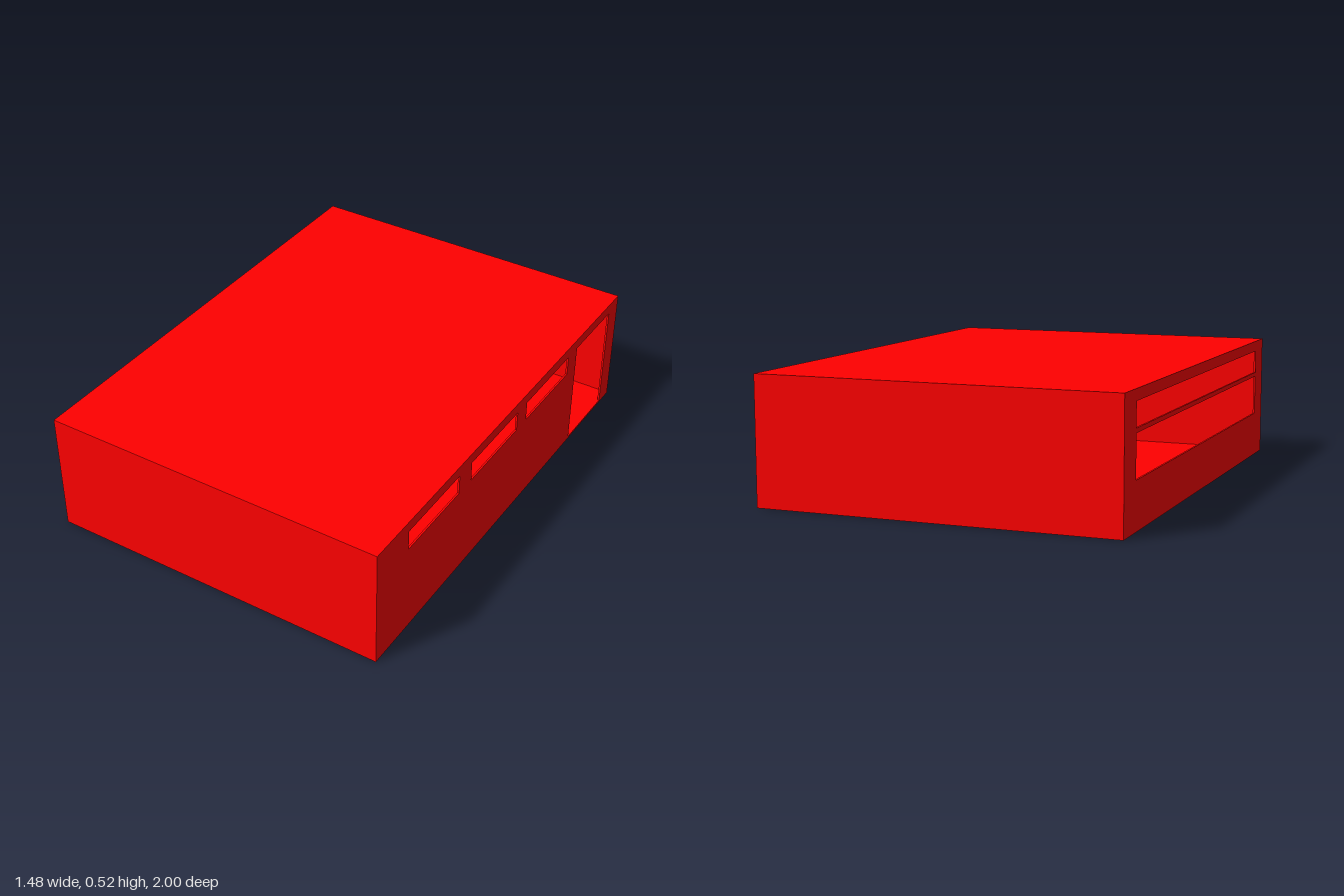
import * as THREE from 'three';

const W = 1.48, H = 0.52, L = 2, T = 0.008; // outer size and panel thickness

export function createModel() {
  const model = new THREE.Group();
  const red = new THREE.MeshStandardMaterial({ color: 0xff0000 });

  const panel = (name, w, h, d, x, y, z) => {
    const mesh = new THREE.Mesh(new THREE.BoxGeometry(w, h, d), red);
    mesh.name = name;
    mesh.position.set(x, y, z);
    model.add(mesh);
  };

  // Side wall drawn in the z-y plane; openings are [z0, z1, y0, y1]
  const sideWall = (name, outerX, openings) => {
    const rect = (target, z0, z1, y0, y1) => {
      target.moveTo(z0, y0);
      target.lineTo(z1, y0);
      target.lineTo(z1, y1);
      target.lineTo(z0, y1);
      target.closePath();
      return target;
    };
    const shape = rect(new THREE.Shape(), -L / 2 + T, L / 2 - T, T, H - T);
    for (const o of openings) shape.holes.push(rect(new THREE.Path(), ...o));
    const geometry = new THREE.ExtrudeGeometry(shape, { depth: T, bevelEnabled: false });
    const mesh = new THREE.Mesh(geometry, red);
    mesh.name = name;
    mesh.rotation.y = -Math.PI / 2;
    mesh.position.x = outerX;
    model.add(mesh);
  };

  // Floor, roof and end walls
  panel('floor', W, T, L, 0, T / 2, 0);
  panel('roof', W, T, L, 0, H - T / 2, 0);
  panel('frontWall', W, H - 2 * T, T, 0, H / 2, L / 2 - T / 2);
  panel('backWall', W, H - 2 * T, T, 0, H / 2, -L / 2 + T / 2);

  // Wall with a doorway and three small high windows
  sideWall('doorWall', W / 2, [
    [-0.915, -0.6, T + 0.001, 0.475],
    [-0.52, -0.145, 0.39, 0.475],
    [-0.065, 0.31, 0.39, 0.475],
    [0.405, 0.78, 0.39, 0.475],
  ]);

  // Wall with two long strip windows
  sideWall('stripWindowWall', -W / 2 + T, [
    [-0.865, 0.875, 0.19, 0.36],
    [-0.865, 0.875, 0.378, 0.475],
  ]);

  return model;
}
